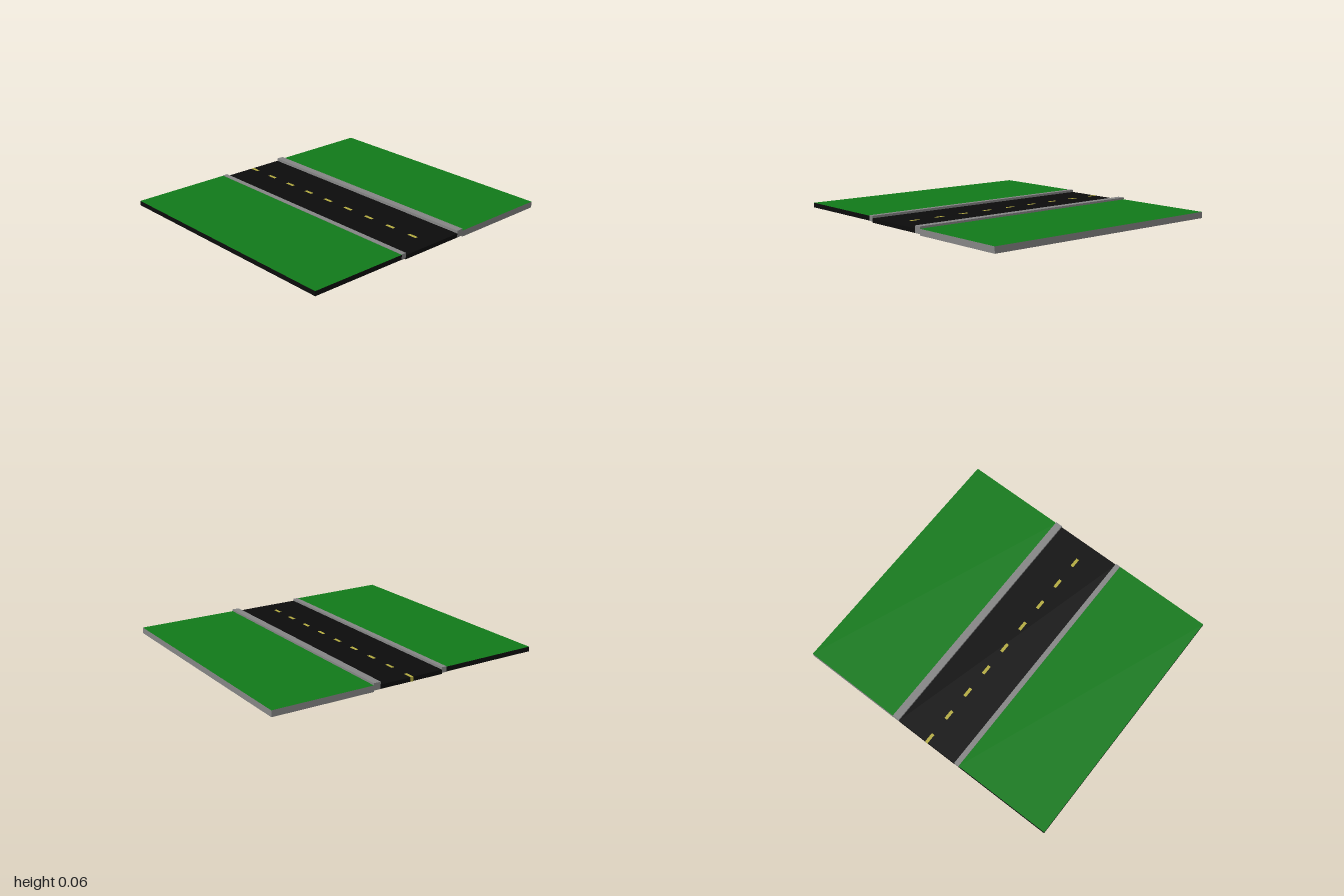
import * as THREE from 'three';

const paint = (color) => new THREE.MeshStandardMaterial({ color });

// Box given by its limits; materials are one, or six in the order +x -x +y -y +z -z
function slab(name, [x0, x1], [y0, y1], [z0, z1], material) {
  const mesh = new THREE.Mesh(new THREE.BoxGeometry(x1 - x0, y1 - y0, z1 - z0), material);
  mesh.position.set((x0 + x1) / 2, (y0 + y1) / 2, (z0 + z1) / 2);
  mesh.name = name;
  return mesh;
}

export function createModel() {
  const group = new THREE.Group();
  group.name = 'roadSection';
  const green = paint(0x117a1a), black = paint(0x0c0c0c);
  const grey = paint(0x858585), yellow = paint(0xb3aa40);
  const length = [-0.913, 0.913];
  const sides = (side, top) => [side, side, top, black, side, side];

  // Grass on both sides: dark-edged on the right, concrete-edged on the left
  group.add(slab('rightGrass', [-1, -0.288], [0.018, 0.051], length, sides(black, green)));
  group.add(slab('leftGrass', [0.278, 1], [0, 0.043], length, sides(grey, green)));

  // Kerbs
  group.add(slab('rightKerb', [-0.288, -0.252], [0.016, 0.054], length, sides(grey, grey)));
  group.add(slab('leftKerb', [0.227, 0.278], [0.009, 0.057], length, sides(grey, grey)));

  // Asphalt
  group.add(slab('road', [-0.252, 0.227], [0.009, 0.038], length, black));

  // Dashed centre line, set through the whole road thickness
  const dashes = new THREE.Group();
  dashes.name = 'centreLine';
  for (let i = 0; i < 9; i++) {
    const z = -0.879 + i * 0.203;
    dashes.add(slab('dash', [-0.025, -0.003], [0.008, 0.039], [z - 0.035, z + 0.035], yellow));
  }
  group.add(dashes);
  return group;
}
